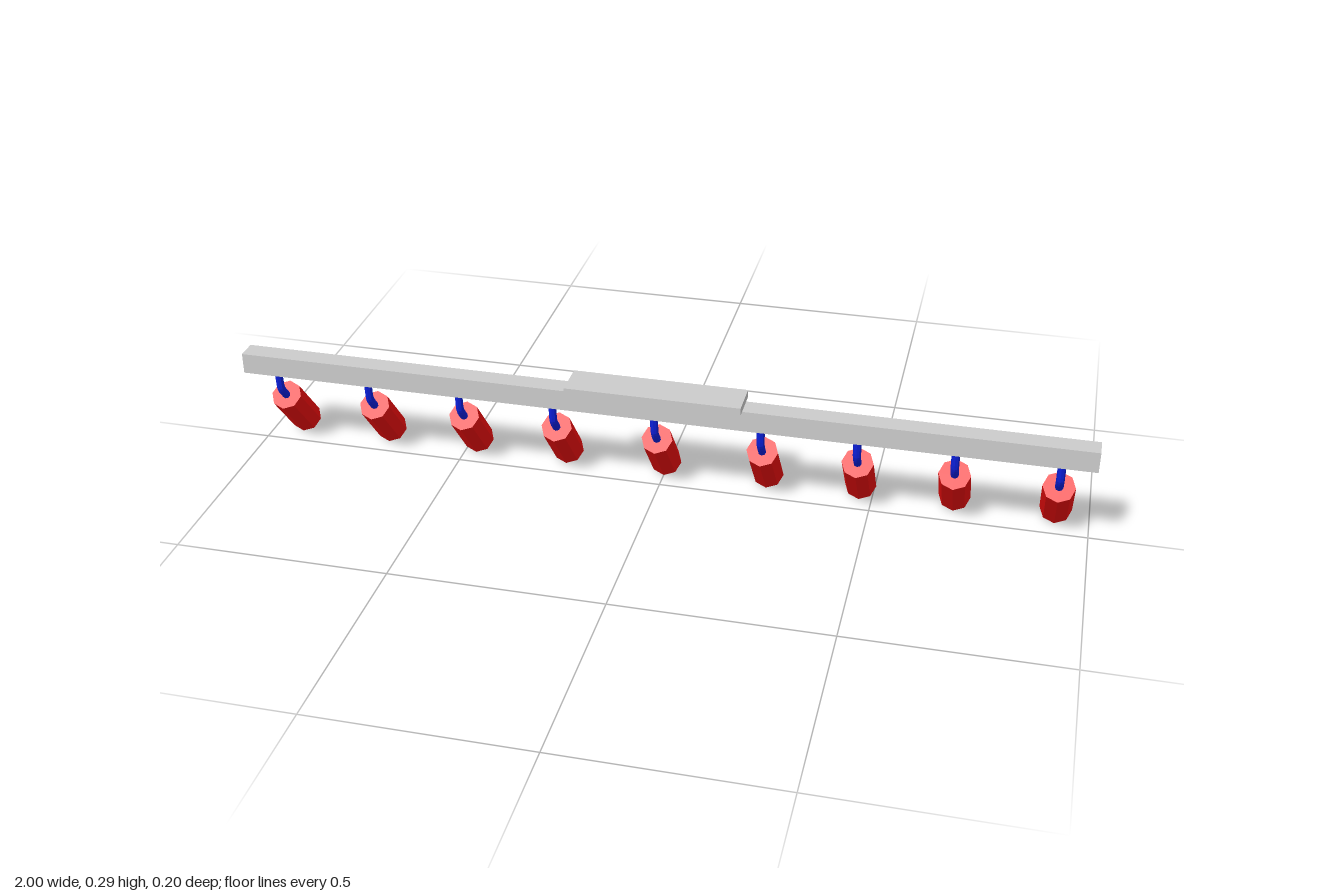
import * as THREE from 'three';

const grey = new THREE.MeshStandardMaterial({ color: 0xcccccc, flatShading: true });
const red = new THREE.MeshStandardMaterial({ color: 0xee0d0d, flatShading: true, side: THREE.DoubleSide });
const blue = new THREE.MeshStandardMaterial({ color: 0x0c1fdd, flatShading: true });
const green = new THREE.MeshStandardMaterial({ color: 0x12a01c, flatShading: true, side: THREE.DoubleSide });

const RADIUS = 0.037, LENGTH = 0.152, SIDES = 8, TILT = 0.7;
const JOINT = new THREE.Vector3(0, 0.1415, 0.025); // centre of the shade's closed end

function mesh(name, geometry, material, parent) {
  const m = new THREE.Mesh(geometry, material);
  m.name = name;
  parent.add(m);
  return m;
}

// Box given by its minimum and maximum corners
function box(name, min, max, parent) {
  const size = max.map((v, i) => v - min[i]);
  mesh(name, new THREE.BoxGeometry(...size), grey, parent)
    .position.set(...max.map((v, i) => (v + min[i]) / 2));
}

function createLamp() {
  const lamp = new THREE.Group();
  lamp.name = 'spotLamp';

  // Bent stem from the rail down into the shade
  const path = new THREE.CurvePath();
  const points = [
    new THREE.Vector3(0, 0.226, 0.055),
    new THREE.Vector3(0, 0.178, 0.051),
    new THREE.Vector3(0, 0.165, 0.045),
    JOINT.clone().add(new THREE.Vector3(0, -0.004, -0.003)),
  ];
  for (let i = 1; i < points.length; i++) path.add(new THREE.LineCurve3(points[i - 1], points[i]));
  mesh('stem', new THREE.TubeGeometry(path, 12, 0.0095, 8), blue, lamp);

  // Tilted shade: closed at the top, open at the bottom, with a recessed lens
  const head = new THREE.Group();
  head.name = 'lampHead';
  head.position.copy(JOINT);
  head.rotation.x = TILT;
  lamp.add(head);
  const profile = [[RADIUS, -LENGTH], [RADIUS, 0], [0, 0]].map(([x, y]) => new THREE.Vector2(x, y));
  mesh('shade', new THREE.LatheGeometry(profile, SIDES), red, head);
  const lens = mesh('lens', new THREE.CircleGeometry(RADIUS * 0.98, SIDES), green, head);
  lens.rotation.x = Math.PI / 2;
  lens.position.y = -LENGTH + 0.04;
  return lamp;
}

export function createModel() {
  const model = new THREE.Group();
  model.name = 'trackLight';

  // Rail and ceiling plate
  box('rail', [-1, 0.223, 0.033], [1, 0.273, 0.082], model);
  box('ceilingPlate', [-0.2, 0.273, 0.013], [0.21, 0.292, 0.102], model);

  // Row of lamps
  const lamp = createLamp();
  for (const x of [-0.925, -0.698, -0.472, -0.243, 0, 0.249, 0.47, 0.69, 0.922]) {
    const copy = lamp.clone();
    copy.position.x = x;
    model.add(copy);
  }
  return model;
}
